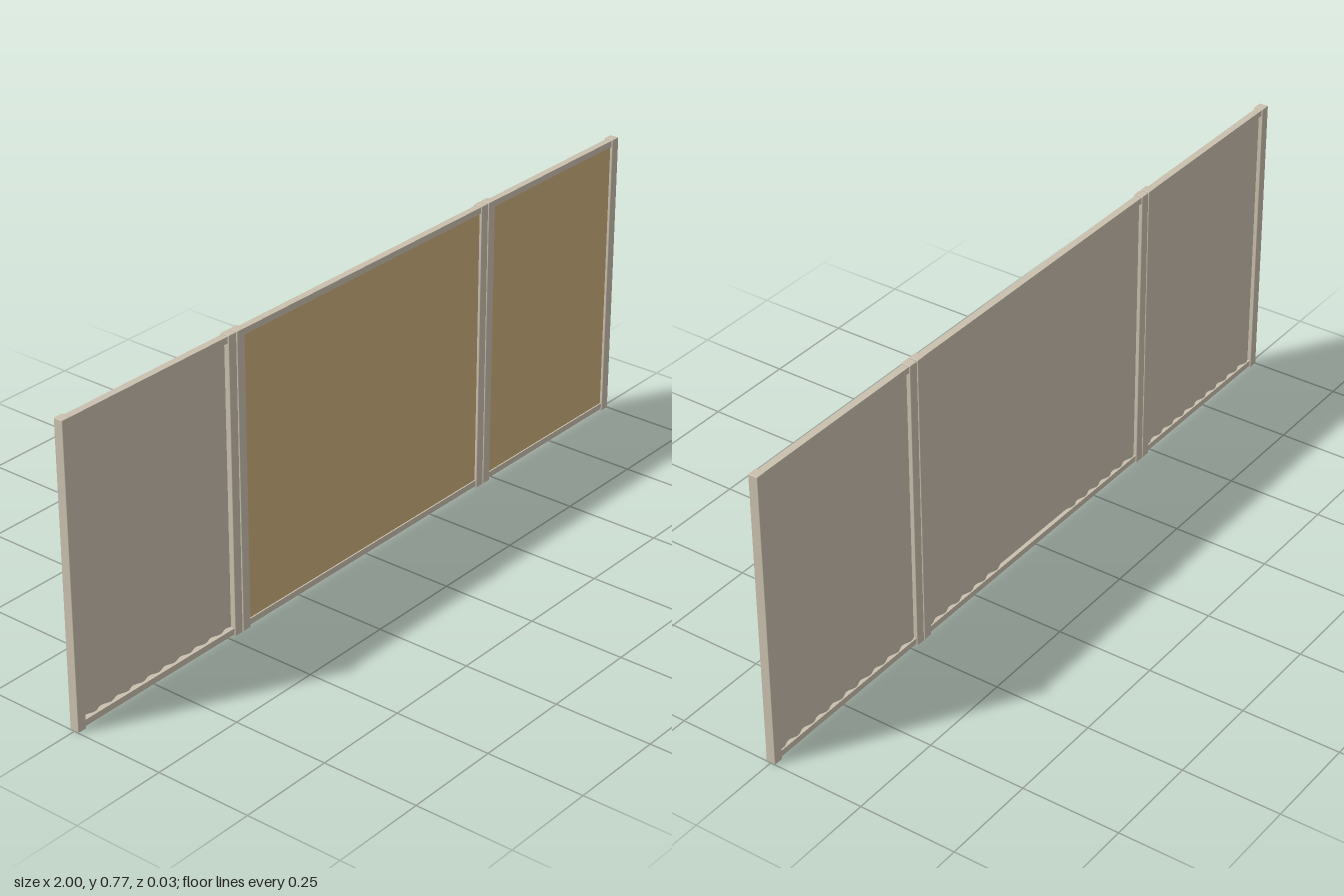
import * as THREE from 'three';
import { RoundedBoxGeometry } from 'three/addons/geometries/RoundedBoxGeometry.js';

const HEIGHT = 0.766;
const PITCH = 0.0516; // spacing of the ribs
const DEPTH = 0.0035; // rib amplitude

export function createModel() {
  const model = new THREE.Group();
  model.name = 'partitionWall';

  const metal = new THREE.MeshStandardMaterial({ color: 0xc9bfad });
  metal.name = 'warm grey metal';
  const sheetMetal = new THREE.MeshStandardMaterial({ color: 0xc9bfad, side: THREE.DoubleSide });
  sheetMetal.name = 'warm grey sheet';
  const board = new THREE.MeshStandardMaterial({ color: 0xcbae7a });
  board.name = 'tan board';

  const add = (parent, name, geometry, material, x, y, z) => {
    const mesh = new THREE.Mesh(geometry, material);
    mesh.name = name;
    mesh.position.set(x, y, z);
    parent.add(mesh);
  };

  // Vertical ribs, with an optional flat strip around the middle
  function ribbedSheet(width, height, flatHalf) {
    const geometry = new THREE.PlaneGeometry(width, height, Math.round(width / PITCH * 12), 1);
    const p = geometry.attributes.position;
    for (let i = 0; i < p.count; i++) {
      const d = Math.abs(p.getX(i)) - flatHalf;
      const wave = Math.cos((d / PITCH) * Math.PI * 2);
      p.setZ(i, d < 0 ? DEPTH : wave * DEPTH);
    }
    geometry.computeVertexNormals();
    return geometry;
  }

  // One framed bay from x0 to x1
  function bay(name, x0, x1, hasBoard, flatHalf) {
    const group = new THREE.Group();
    group.name = name;
    model.add(group);
    const post = 0.025, rail = 0.016;
    const mid = (x0 + x1) / 2;
    const inner = x1 - x0 - 2 * post;

    // Posts
    for (const x of [x0 + post / 2, x1 - post / 2]) {
      add(group, 'post', new RoundedBoxGeometry(post, HEIGHT, 0.025, 2, 0.002), metal, x, HEIGHT / 2, 0);
    }
    // Rails
    add(group, 'bottomRail', new THREE.BoxGeometry(inner, rail, 0.018), metal, mid, 0.004 + rail / 2, 0);
    add(group, 'topRail', new THREE.BoxGeometry(inner, rail, 0.018), metal, mid, HEIGHT - 0.003 - rail / 2, 0);

    // Ribbed sheet, with the lining board in front of it
    const low = 0.012, high = HEIGHT - 0.012;
    add(group, 'ribbedSheet', ribbedSheet(inner, high - low, flatHalf), sheetMetal, mid, (low + high) / 2, -0.002);
    if (hasBoard) {
      add(group, 'liningBoard', new THREE.BoxGeometry(inner, high - low, 0.003), board, mid, (low + high) / 2, 0.004);
    }
  }

  bay('rightBay', -1, -0.458, false, 0);
  bay('middleBay', -0.455, 0.455, true, 0.135);
  bay('leftBay', 0.458, 1, true, 0);

  return model;
}
